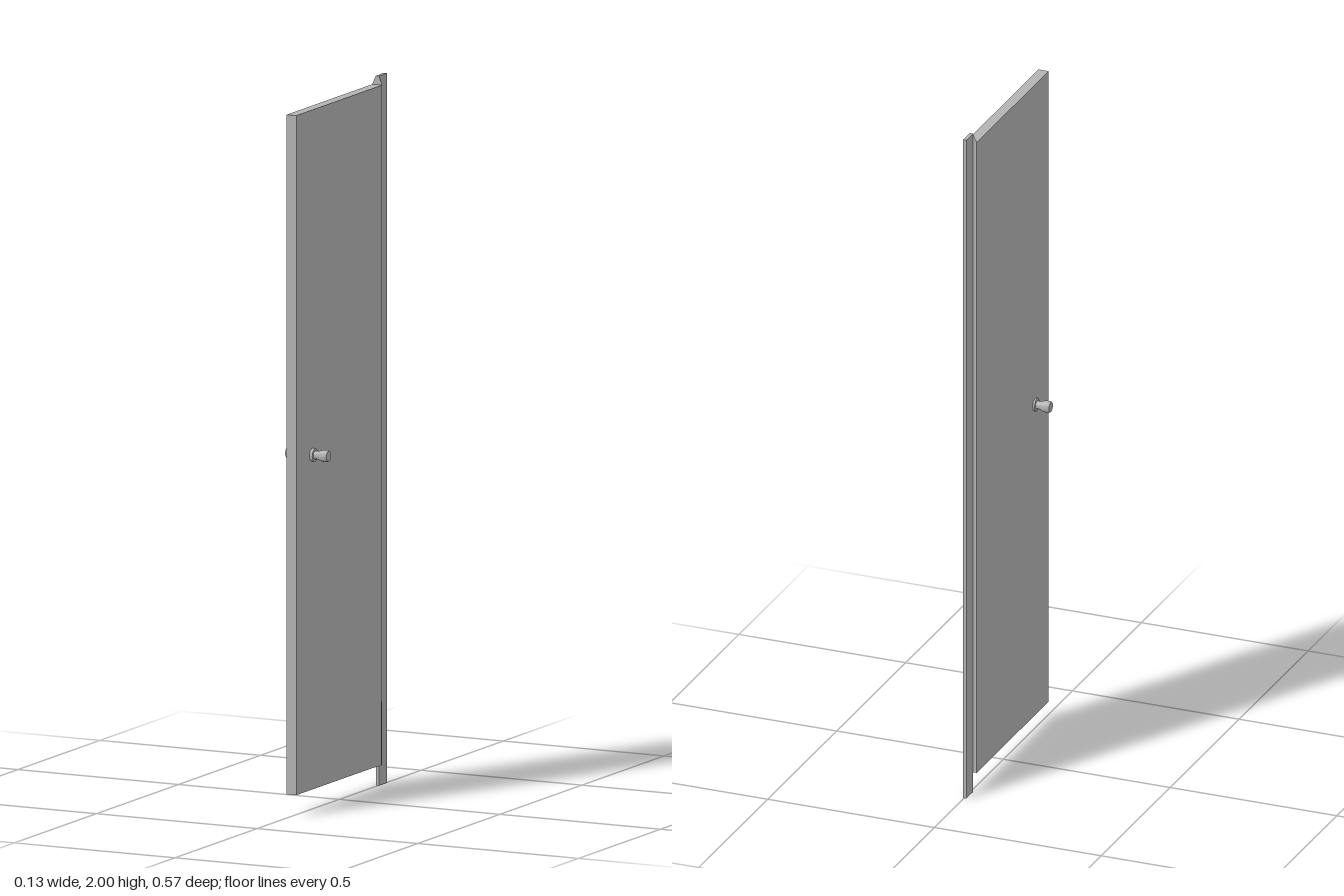
import * as THREE from 'three';
import { toCreasedNormals } from 'three/addons/utils/BufferGeometryUtils.js';

// Double sided because the hinge flanges are open, thin faces
const grey = new THREE.MeshStandardMaterial({ color: 0xb3b3b3, side: THREE.DoubleSide });
grey.name = 'grey';

// Door slab limits
const X0 = -0.018, X1 = 0.0125, Y0 = 0.06, Y1 = 1.975, Z0 = -0.237, Z1 = 0.285;

function add(group, name, geometry) {
  const mesh = new THREE.Mesh(geometry, grey);
  mesh.name = name;
  group.add(mesh);
  return mesh;
}

function box(x0, x1, y0, y1, z0, z1) {
  return new THREE.BoxGeometry(x1 - x0, y1 - y0, z1 - z0)
    .translate((x0 + x1) / 2, (y0 + y1) / 2, (z0 + z1) / 2);
}

function faces(points, index) {
  const g = new THREE.BufferGeometry();
  g.setAttribute('position', new THREE.Float32BufferAttribute(points.flat(), 3));
  g.setIndex(index);
  const flat = g.toNonIndexed();
  flat.computeVertexNormals();
  return flat;
}

export function createModel() {
  const door = new THREE.Group();
  door.name = 'door';

  add(door, 'doorPanel', box(X0, X1, Y0, Y1, Z0, Z1));

  // Tall thin hinge strip behind the panel
  const sx0 = -0.007, sx1 = 0.003;
  add(door, 'hingeStrip', box(sx0, sx1, 0, 2, -0.285, Z0));

  // Tapered face joining the panel's top edge to the strip
  add(door, 'topFlange', faces(
    [[X0, Y1, Z0], [X1, Y1, Z0], [sx1, 2, Z0], [sx0, 2, Z0]],
    [0, 1, 2, 0, 2, 3]));

  // Slim wedge flaring out of the lower hinge edge
  add(door, 'lowerFlare', faces(
    [[X1, 0.92, Z0], [X1, Y0, Z0], [0.018, Y0, -0.222], [X1, Y0, -0.18]],
    [0, 3, 2, 0, 2, 1, 1, 2, 3]));

  // Matching turned knobs, one on each face
  const profile = [[0, 0], [0.0185, 0], [0.0185, 0.009], [0.012, 0.009], [0.011, 0.015],
    [0.0125, 0.022], [0.0158, 0.031], [0.0165, 0.036], [0.0165, 0.046],
    [0.0145, 0.0505], [0, 0.0505]].map(([r, y]) => new THREE.Vector2(r, y));
  const knob = toCreasedNormals(new THREE.LatheGeometry(profile, 24), 0.6);
  for (const side of [1, -1]) {
    const mesh = add(door, side > 0 ? 'leftKnob' : 'rightKnob', knob);
    mesh.rotation.z = -side * Math.PI / 2;
    mesh.position.set(side > 0 ? 0.0122 : -0.0148, 1.003, 0.187);
  }
  return door;
}
